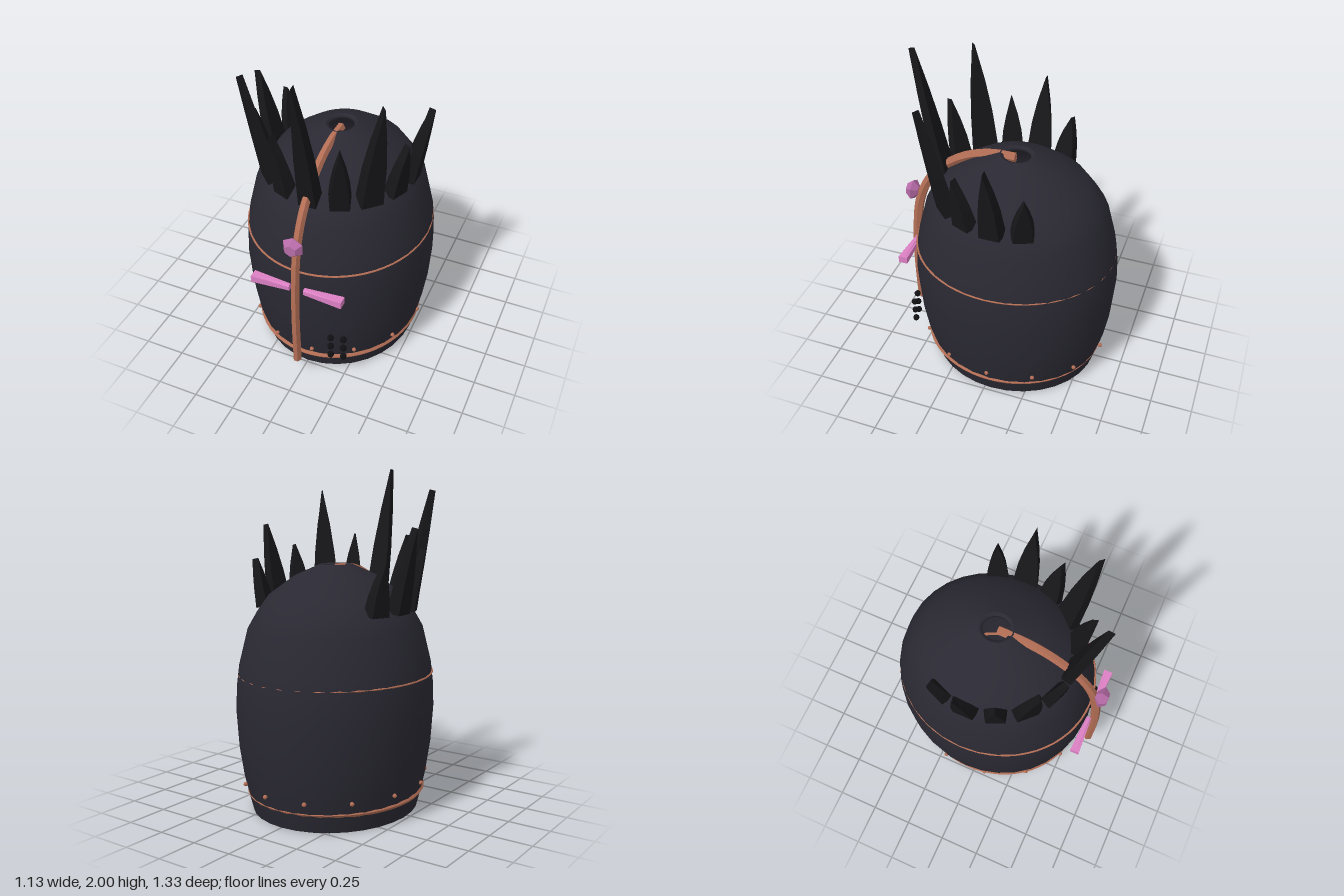
import * as THREE from 'three';

const CZ = -0.04;   // middle of the helmet, front to back
const DEEP = 1.1;   // the helmet is deeper than it is wide

const mat = (color, flatShading = false) =>
  new THREE.MeshStandardMaterial({ color, flatShading, side: THREE.DoubleSide });
const dark = mat(0x2a2933), black = mat(0x17171a, true), blackSmooth = mat(0x101013);
const copper = mat(0xb36e55, true), pink = mat(0xdc80c4, true), violet = mat(0xb76ca8, true);

export function createModel() {
  const model = new THREE.Group();
  const add = (name, geometry, material, parent = model) => {
    const mesh = new THREE.Mesh(geometry, material);
    mesh.name = name;
    parent.add(mesh);
    return mesh;
  };

  // Helmet shell: oval lathe with an open crown hole and an open neck
  const profile = [[0.478, 0], [0.493, 0.06], [0.525, 0.2], [0.551, 0.38], [0.565, 0.6], [0.559, 0.75],
    [0.545, 0.87], [0.495, 1.08], [0.445, 1.17], [0.38, 1.265], [0.235, 1.375], [0.09, 1.442]];
  const lathe = (pts) => new THREE.LatheGeometry(pts.map(p => new THREE.Vector2(...p)), 32)
    .scale(1, 1, DEEP).translate(0, 0, CZ);
  const inner = profile.slice(0, -1).reverse().map(([r, y]) => [r - 0.02, y > 1 ? y - 0.015 : y]);
  add('helmetShell', lathe(profile), dark);
  add('helmetLining', lathe([[0.09, 1.442], [0.072, 1.435], [0.072, 1.415], ...inner, [0.478, 0]]), dark);

  // Thin trim rings set into the shell
  const ring = (name, r, tube, y, shift) => add(name,
    new THREE.TorusGeometry(r, tube, 6, 64).rotateX(Math.PI / 2)
      .scale(1, 1, DEEP).translate(0, y, CZ + shift), copper);
  ring('browTrim', 0.55, 0.006, 0.81, 0.006);
  ring('neckTrim', 0.495, 0.018, 0.11, 0.008);

  // Rivets around the neck
  const rivets = new THREE.Group();
  rivets.name = 'rivets';
  model.add(rivets);
  for (let i = 0; i < 13; i++) {
    const a = (6 + i * 360 / 13) * Math.PI / 180;
    add('rivet', new THREE.SphereGeometry(0.013, 8, 6), copper, rivets)
      .position.set(0.525 * Math.sin(a), 0.18, CZ + 0.585 * Math.cos(a));
  }

  // Nose strap that rises over the brow and ends in the crown hole
  const path = new THREE.CatmullRomCurve3([[0.16, 0.625], [0.45, 0.63], [0.7, 0.622], [0.95, 0.592],
    [1.1, 0.54], [1.2, 0.475], [1.29, 0.38], [1.365, 0.26], [1.41, 0.11], [1.415, -0.03]]
    .map(([y, z]) => new THREE.Vector3(0, y, z)));
  add('noseStrap', new THREE.TubeGeometry(path, 36, 0.03, 6).scale(0.87, 1, 1), copper);
  const cap = () => new THREE.CircleGeometry(0.03, 6).scale(0.87, 1, 1);
  add('strapLowerEnd', cap().rotateX(Math.PI / 2).translate(0, 0.16, 0.625), copper);
  add('strapUpperEnd', cap().rotateY(Math.PI).translate(0, 1.415, -0.03), copper);

  // Six-sided cut gem on the strap
  const cut = [[0, -0.035], [0.025, -0.033], [0.066, 0.002], [0.036, 0.04], [0, 0.04]];
  add('browGem', new THREE.LatheGeometry(cut.map(p => new THREE.Vector2(...p)), 6)
    .rotateY(Math.PI / 6).rotateX(Math.PI / 2).rotateZ(0), violet).position.set(0, 1.035, 0.625);
  model.getObjectByName('browGem').geometry.rotateZ(Math.PI / 6 * 2 + Math.PI / 6);

  // Eye slits: bars that widen outwards
  for (const s of [1, -1]) {
    const g = new THREE.CylinderGeometry(0.03, 0.017, 0.235, 8, 1).rotateY(Math.PI / 8)
      .rotateZ(-s * Math.PI / 2);
    const p = g.attributes.position;
    for (let i = 0; i < p.count; i++) p.setY(i, Math.sign(p.getY(i)) * Math.min(0.022, Math.abs(p.getY(i)) * 2));
    g.computeVertexNormals();
    add(s > 0 ? 'leftEyeSlit' : 'rightEyeSlit', g, pink).position.set(s * 0.162, 0.7, 0.597);
  }

  // Breathing studs on the left cheek
  for (const [x, z] of [[0.19, 0.565], [0.265, 0.55]])
    for (const y of [0.215, 0.285, 0.355])
      add('breathStud', new THREE.SphereGeometry(0.02, 10, 8), blackSmooth).position.set(x, y, z);

  // Crown of outward-leaning spikes: pointed blades that thin towards the tip
  const crown = new THREE.Group();
  crown.name = 'crown';
  model.add(crown);
  const spike = (deg, height, w) => {
    const h = height / Math.cos(0.2), d = 0.075;
    const shape = new THREE.Shape([[-w, 0], [w, 0], [w * 0.8, h * 0.4], [w * 0.5, h * 0.68], [0, h],
      [-w * 0.5, h * 0.68], [-w * 0.8, h * 0.4]].map(p => new THREE.Vector2(...p)));
    const g = new THREE.ExtrudeGeometry(shape, { depth: d, bevelEnabled: false }).translate(0, 0, -d / 2);
    const p = g.attributes.position;
    for (let i = 0; i < p.count; i++) {
      const z = p.getZ(i);
      p.setZ(i, z * (1 - 0.5 * p.getY(i) / h));
      if (z > 0) p.setX(i, p.getX(i) * 0.8);   // narrower outer face
    }
    g.rotateX(0.2).computeVertexNormals();
    const a = deg * Math.PI / 180;
    const m = add('spike', g, black, crown);
    m.position.set(0.43 * Math.sin(a), 1.185, CZ + 0.445 * Math.cos(a));
    m.rotation.y = a;
  };
  const sizes = [[0.81, 0.066], [0.41, 0.068], [0.68, 0.08], [0.345, 0.07], [0.475, 0.075], [0.28, 0.07]];
  sizes.forEach(([h, w], i) => {
    spike(i * 22.5, h, w);
    if (i) spike(-i * 22.5, h, w);
  });

  return model;
}
